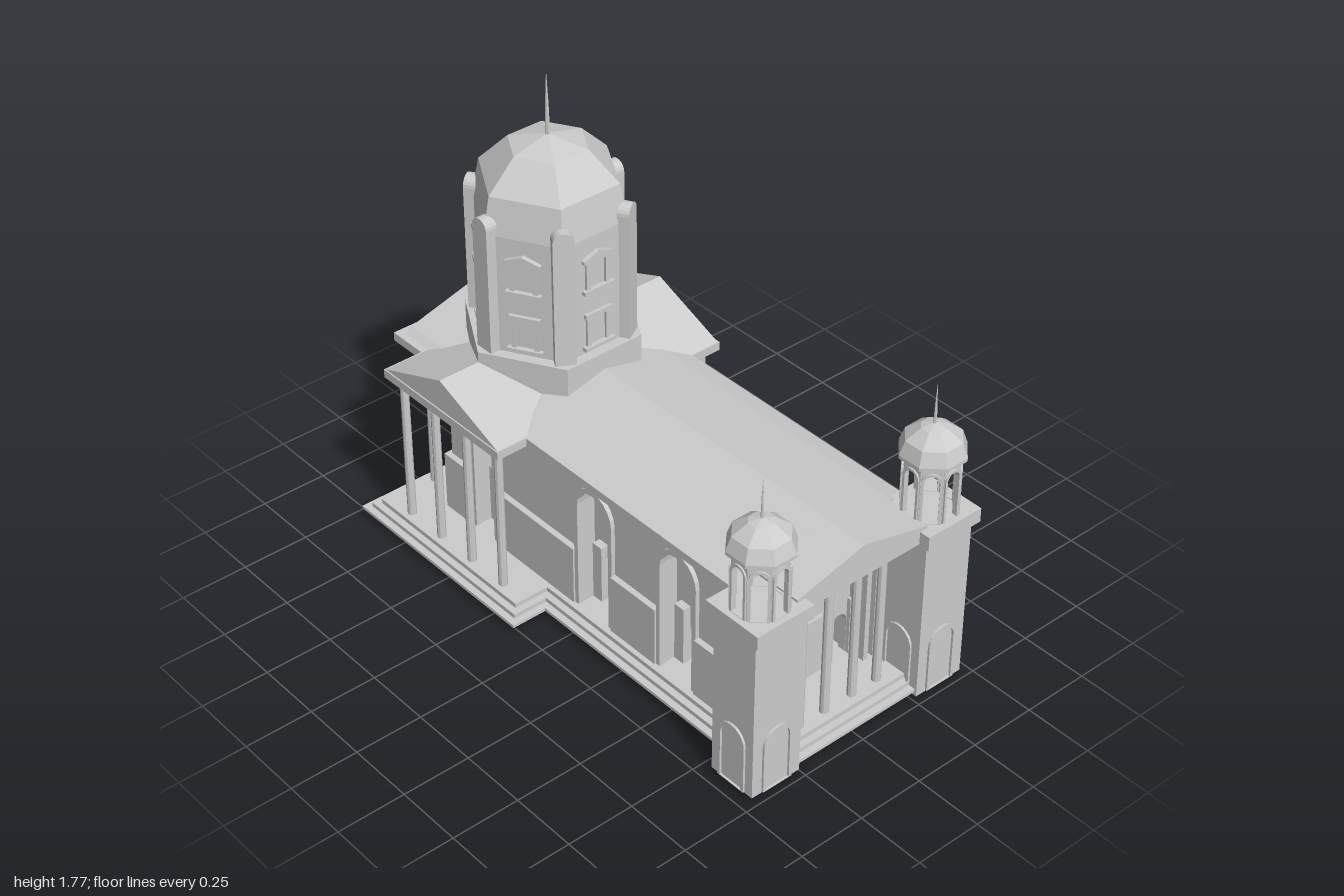
import * as THREE from 'three';

const mat = new THREE.MeshStandardMaterial({ color: 0xcccccc, flatShading: true, side: THREE.DoubleSide });

export function createModel() {
  const root = new THREE.Group();
  root.name = 'church';

  const add = (geo, name, parent = root) => {
    const m = new THREE.Mesh(geo, mat);
    m.name = name;
    parent.add(m);
    return m;
  };
  // box given by its limits
  const box = (x0, x1, y0, y1, z0, z1, name, parent) =>
    add(new THREE.BoxGeometry(x1 - x0, y1 - y0, z1 - z0), name, parent)
      .position.set((x0 + x1) / 2, (y0 + y1) / 2, (z0 + z1) / 2);
  const poly = (pts) => new THREE.Shape(pts.map(([x, y]) => new THREE.Vector2(x, y)));
  const rect = (x0, x1, y0, y1) => poly([[x0, y0], [x1, y0], [x1, y1], [x0, y1]]);
  // round-headed outline
  const arch = (cx, half, y0, top) => {
    const s = new THREE.Shape();
    s.moveTo(cx - half, y0);
    s.lineTo(cx + half, y0);
    s.lineTo(cx + half, top - half);
    s.absarc(cx, top - half, half, 0, Math.PI, false);
    s.lineTo(cx - half, y0);
    return s;
  };
  // extruded shape centred on a given z
  const slab = (shape, depth, z, name, parent, holes = []) => {
    shape.holes.push(...holes);
    const g = new THREE.ExtrudeGeometry(shape, { depth, bevelEnabled: false, curveSegments: 5 });
    g.translate(0, 0, z - depth / 2);
    return add(g, name, parent);
  };
  const archFrame = (cx, half, y0, top, w, depth, z, name, parent) =>
    slab(arch(cx, half, y0, top), depth, z, name, parent, [arch(cx, half - w, y0 + 0.002, top - w)]);
  // outline in (z, y) extruded along x
  const alongX = (pts, x0, x1, name) => {
    const m = slab(poly(pts), x1 - x0, 0, name);
    m.rotation.y = Math.PI / 2;
    m.position.x = (x0 + x1) / 2;
  };

  // stepped platform
  [[0.03, 0.042, 0], [0.042, 0.058, 0.025], [0.058, 0.075, 0.05]].forEach(([a, b, i]) =>
    slab(poly([[-0.97 + i, 0.525 - i], [-0.97 + i, -0.525 + i], [-0.12 - i, -0.525 + i], [-0.12 - i, -0.39 + i],
      [0.8, -0.39 + i], [0.8, -0.27], [0.97 - i, -0.27], [0.97 - i, 0.27], [0.8, 0.27], [0.8, 0.39 - i],
      [-0.12 - i, 0.39 - i], [-0.12 - i, 0.525 - i]]), b - a, 0, 'platformStep')
      .rotateX(Math.PI / 2).position.y = (a + b) / 2);
  box(-0.74, -0.62, 0, 0.03, -0.17, 0.17, 'westFooting');

  // long walls with arched niches and doors
  const niches = [[-0.535, 0.068], [0.045, 0.095], [0.455, 0.095]];
  for (const s of [1, -1]) {
    slab(rect(-0.73, 0.79, 0.015, 0.64), 0.06, s * 0.27, 'sideWall', root,
      niches.map(([x, h]) => arch(x, h - 0.015, 0.04, 0.575)));
    slab(rect(-0.73, 0.79, 0.04, 0.63), 0.02, s * 0.21, 'nicheBack', root,
      niches.map(([x]) => arch(x, x < 0 ? 0.034 : 0.04, 0.06, 0.235)));
    for (const [x, h] of niches) {
      archFrame(x, h, 0.06, 0.59, 0.018, 0.025, s * 0.303, 'nicheFrame');
      for (const d of [-1, 1]) {
        const a = x + d * 0.036, b = x + d * (h - 0.015);
        box(Math.min(a, b), Math.max(a, b), 0.07, 0.3, Math.min(s * 0.22, s * 0.25), Math.max(s * 0.22, s * 0.25), 'nichePlinth');
      }
    }
    for (const [a, b] of [[-0.745, -0.603], [-0.467, -0.05], [0.14, 0.36], [0.55, 0.79]])
      box(a, b, 0.015, 0.3, s * 0.31 - 0.012, s * 0.31 + 0.012, 'lowerWall');
  }

  // end walls, with two doors and pointed hanging panels
  for (const [x, d] of [[-0.715, -1], [0.7, 1]]) {
    const g = new THREE.Group();
    g.name = d < 0 ? 'westWall' : 'eastWall';
    g.position.x = x;
    g.rotation.y = d * Math.PI / 2;
    root.add(g);
    slab(rect(-0.29, 0.29, 0.04, 0.66), 0.03, 0, 'endWall', g, [-0.155, 0.155].map((c) => arch(c, 0.034, 0.06, 0.245)));
    for (const [a, b] of [[-0.3, -0.19], [-0.12, 0.12], [0.19, 0.3]])
      box(a, b, 0.06, 0.3, 0, 0.03, 'lowerEndWall', g);
    for (const c of [-0.08, 0.08])
      slab(poly([[c - 0.025, 0.63], [c - 0.025, 0.41], [c, 0.375], [c + 0.025, 0.41], [c + 0.025, 0.63]]), 0.02, 0.02, 'hangingPanel', g);
  }

  // portico columns
  const column = (x, z) => {
    add(new THREE.CylinderGeometry(0.015, 0.016, 0.57, 10), 'column').position.set(x, 0.36, z);
  };
  for (const s of [1, -1]) {
    for (const x of [-0.79, -0.62, -0.45, -0.28]) column(x, s * 0.44);
    for (const z of [0.09, 0.265]) column(-0.89, s * z);
    for (const z of [0.06, 0.17]) column(0.88, s * z);
  }

  // roofs
  alongX([[-0.36, 0.64], [0.36, 0.64], [0.36, 0.67], [0.285, 0.695], [0, 0.765], [-0.285, 0.695], [-0.36, 0.67]],
    -0.5, 0.79, 'naveRoof');
  alongX([[-0.275, 0.64], [0.275, 0.64], [0.275, 0.697], [0, 0.765], [-0.275, 0.697]], 0.78, 0.96, 'eastPorticoRoof');
  box(-1, -0.5, 0.64, 0.672, -0.325, 0.325, 'westCornice');
  alongX([[-0.3, 0.67], [0.3, 0.67], [0.27, 0.69], [0, 0.765], [-0.27, 0.69]], -0.97, -0.5, 'westRoof');
  box(-0.845, -0.23, 0.64, 0.672, -0.48, 0.48, 'transeptCornice');
  slab(poly([[-0.845, 0.67], [-0.23, 0.67], [-0.535, 0.79]]), 0.95, 0, 'transeptRoof');

  // hexagonal drum and dome, corners on the z axis
  const tower = new THREE.Group();
  tower.name = 'centralTower';
  tower.position.x = -0.535;
  root.add(tower);
  const lathe = (pts, n, name, parent) =>
    add(new THREE.LatheGeometry(pts.map(([r, y]) => new THREE.Vector2(r, y)), n), name, parent);
  lathe([[0.315, 0.66], [0.315, 0.83], [0, 0.83]], 6, 'drumBase', tower);
  lathe([[0.272, 0.83], [0.272, 1.27], [0.245, 1.4], [0.14, 1.505], [0, 1.54]], 6, 'drumAndDome', tower);
  lathe([[0.009, 1.53], [0.006, 1.65], [0, 1.77]], 6, 'spire', tower);
  for (let i = 0; i < 6; i++) {
    const corner = new THREE.Group();
    corner.name = 'buttressCorner';
    corner.rotation.y = i * Math.PI / 3;
    tower.add(corner);
    slab(arch(0, 0.036, 0.83, 1.335), 0.06, 0.258, 'buttress', corner);

    const face = new THREE.Group();
    face.name = 'drumWindows';
    face.rotation.y = (i + 0.5) * Math.PI / 3;
    tower.add(face);
    const z0 = 0.23, z1 = 0.245;
    for (const [y0, y1] of [[0.845, 0.97], [1.065, 1.185]]) {
      box(-0.062, 0.062, y0, y0 + 0.014, z0, z1 + 0.008, 'windowSill', face);
      for (const s of [-1, 1]) box(s * 0.04 - 0.008, s * 0.04 + 0.008, y0 + 0.012, y1, z0, z1, 'windowJamb', face);
    }
    box(-0.055, 0.055, 0.968, 0.984, z0, z1 + 0.004, 'windowHead', face);
    slab(poly([[-0.062, 1.183], [0.062, 1.183], [0.062, 1.195], [0, 1.218], [-0.062, 1.195]]), 0.024, 0.24, 'windowPediment', face);
  }

  // two corner bell towers
  for (const s of [1, -1]) {
    const t = new THREE.Group();
    t.name = s > 0 ? 'frontBellTower' : 'backBellTower';
    t.position.set(0.885, 0, s * 0.358);
    root.add(t);
    box(-0.093, 0.093, 0.015, 0.64, -0.1, 0.1, 'towerBody', t);
    box(-0.115, 0.115, 0.635, 0.688, -0.115, 0.115, 'towerCornice', t);
    for (let i = 0; i < 4; i++) {
      const g = new THREE.Group();
      g.name = 'towerArch';
      g.rotation.y = i * Math.PI / 2;
      t.add(g);
      archFrame(0, 0.06, 0.02, 0.262, 0.012, 0.014, i % 2 ? 0.094 : 0.101, 'archFrame', g);
    }
    // open octagonal lantern
    for (let i = 0; i < 8; i++) {
      const g = new THREE.Group();
      g.name = 'lanternFace';
      g.rotation.y = i * Math.PI / 4;
      t.add(g);
      slab(rect(-0.036, 0.036, 0.685, 0.905), 0.014, 0.081, 'lanternWall', g, [arch(0, 0.026, 0.69, 0.87)]);
      archFrame(0, 0.034, 0.688, 0.88, 0.009, 0.008, 0.09, 'lanternFrame', g);
    }
    lathe([[0, 0.9], [0.114, 0.9], [0.114, 0.912], [0.096, 0.962], [0.045, 1.0], [0, 1.012]], 8, 'lanternDome', t)
      .rotation.y = Math.PI / 8;
    lathe([[0.006, 1.0], [0.004, 1.08], [0, 1.155]], 6, 'lanternSpire', t);
  }
  return root;
}
